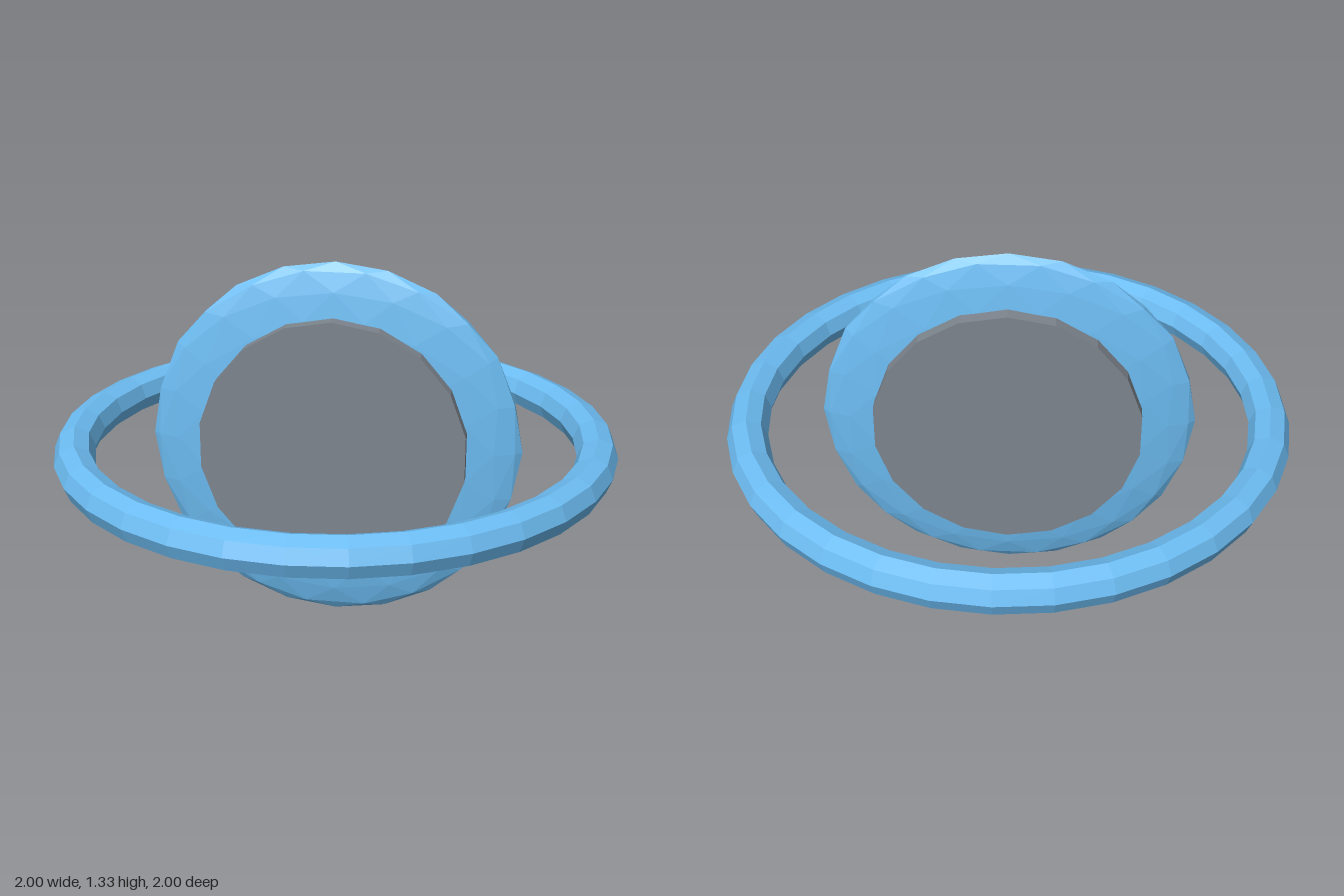
import * as THREE from 'three';

const CENTRE_Y = 0.667;
const blue = new THREE.MeshStandardMaterial({ color: 0x6cbcf2, flatShading: true });
const grey = new THREE.MeshStandardMaterial({ color: 0x7d858e, flatShading: true });

// Icosphere: every edge is halved and pushed out to the sphere, twice
function icosphere(radius) {
  const base = new THREE.IcosahedronGeometry(1, 1).attributes.position;
  const corners = Array.from({ length: base.count }, (_, i) => i);
  return new THREE.PolyhedronGeometry(Array.from(base.array), corners, radius, 1);
}

export function createModel() {
  const model = new THREE.Group();
  model.name = 'ringedDisc';

  const add = (name, geometry, material) => {
    const mesh = new THREE.Mesh(geometry, material);
    mesh.name = name;
    mesh.position.y = CENTRE_Y;
    model.add(mesh);
  };

  // Thin upright lens: a faceted sphere flattened along z
  add('lensDisc', icosphere(0.667).scale(1, 1, 0.12), blue);

  // Flat drum through the middle, showing on both faces
  add('hubDrum', new THREE.CylinderGeometry(0.48, 0.48, 0.208, 18).rotateX(Math.PI / 2), grey);

  // Level ring around the disc
  add('orbitRing', new THREE.TorusGeometry(0.928, 0.072, 8, 32).rotateX(Math.PI / 2), blue);

  return model;
}
